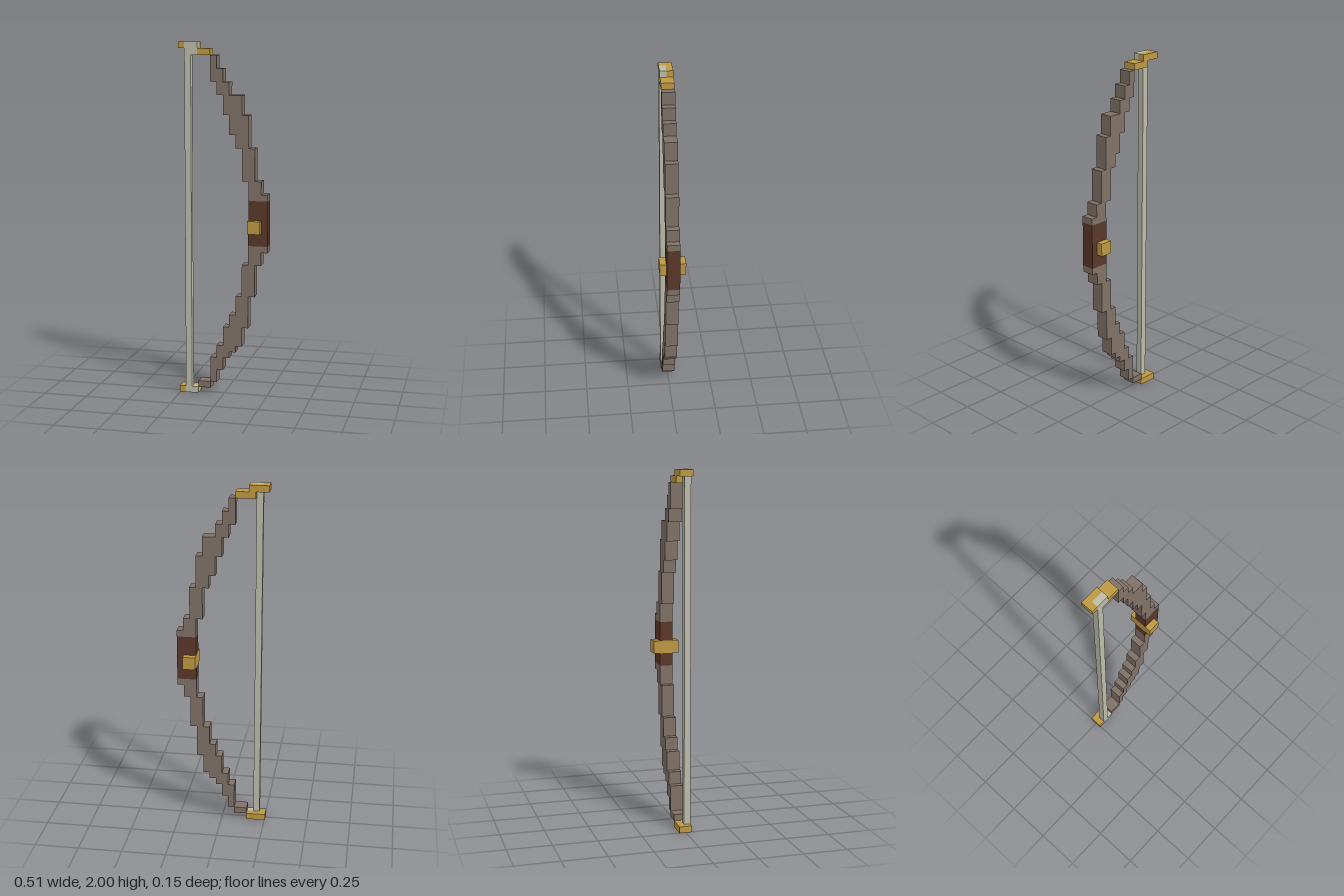
import * as THREE from 'three';

const U = 2 / 55; // one block; the bow is 14 blocks wide and 55 tall

function material(name, color) {
  const m = new THREE.MeshStandardMaterial({ color });
  m.name = name;
  return m;
}

export function createModel() {
  const bow = new THREE.Group();
  bow.name = 'bow';
  const wood = material('greyBrownWood', 0x7f7167);
  const leather = material('darkLeather', 0x5a3729);
  const gold = material('gold', 0xbe9841);
  const cord = material('paleCord', 0xbdbcaa);

  function part(name) {
    const g = new THREE.Group();
    g.name = name;
    bow.add(g);
    return g;
  }

  // Box between block coordinates
  function block(parent, name, mat, x0, x1, y0, y1, z0 = -1, z1 = 1) {
    const mesh = new THREE.Mesh(
      new THREE.BoxGeometry((x1 - x0) * U, (y1 - y0) * U, (z1 - z0) * U), mat);
    mesh.position.set(((x0 + x1) / 2 - 7) * U, ((y0 + y1) / 2) * U, ((z0 + z1) / 2) * U);
    mesh.name = name;
    parent.add(mesh);
  }

  // Limbs: one-block-wide columns [x, bottom, top]
  const limbs = {
    upperLimb: [[5, 49, 53], [6, 47, 51], [7, 44, 49], [8, 41, 47], [9, 39, 47],
      [10, 34, 44], [11, 31, 39], [12, 31, 34], [13, 31, 32]],
    lowerLimb: [[3, 1, 2], [4, 1, 2], [5, 2, 6], [6, 4, 8], [7, 6, 11], [8, 7, 13],
      [9, 8, 16], [10, 11, 21], [11, 16, 24], [12, 21, 24], [13, 23, 24]],
  };
  for (const [name, columns] of Object.entries(limbs)) {
    const limb = part(name);
    for (const [x, y0, y1] of columns) block(limb, 'limbStep', wood, x, x + 1, y0, y1);
  }

  // Grip, leaving a slot for the arrow rest
  const grip = part('grip');
  block(grip, 'gripLower', leather, 11, 14, 24, 26);
  block(grip, 'gripUpper', leather, 11, 14, 28, 31);
  block(grip, 'gripFace', leather, 13, 14, 26, 28);
  block(bow, 'arrowRest', gold, 11, 13, 26, 28, -2, 2);

  // Gold tips
  const upperTip = part('upperTip');
  block(upperTip, 'tipBack', gold, 0, 3, 54, 55, -1, 0);
  block(upperTip, 'tipEnd', gold, 0, 1, 54, 55, 0, 1);
  block(upperTip, 'tipJoint', gold, 2, 3, 53, 54, -1, 0);
  block(upperTip, 'tipBase', gold, 3, 5, 53, 54);
  const lowerTip = part('lowerTip');
  block(lowerTip, 'tipBack', gold, 0, 3, 0, 1, -1, 0);
  block(lowerTip, 'tipEnd', gold, 0, 1, 0, 1, 0, 1);

  // String with its hooked ends
  const string = part('bowString');
  block(string, 'stringCord', cord, 1, 2, 0, 55, 0, 1);
  block(string, 'upperKnot', cord, 2, 3, 53, 55, 0, 1);
  block(string, 'lowerKnot', cord, 2, 3, 0, 1, 0, 1);

  return bow;
}
